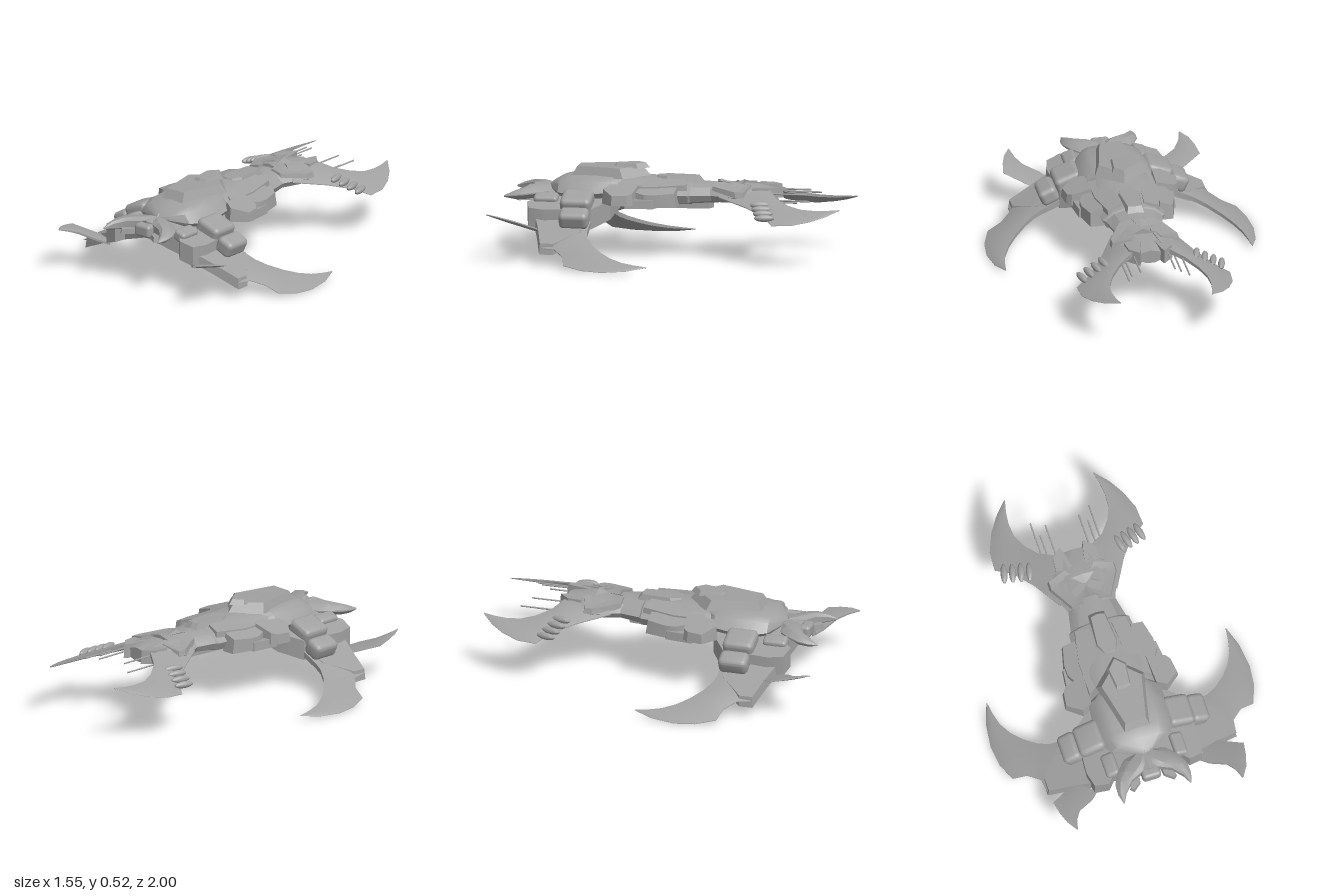
import * as THREE from 'three';
import { toCreasedNormals } from 'three/addons/utils/BufferGeometryUtils.js';
import { RoundedBoxGeometry } from 'three/addons/geometries/RoundedBoxGeometry.js';

const hullGrey = new THREE.MeshStandardMaterial({ color: 0xa0a0a0 });
hullGrey.name = 'hull grey';

// Reverse every triangle of a non-indexed geometry
function flip(geo) {
  const p = geo.attributes.position.array;
  for (let i = 0; i < p.length; i += 9)
    for (let k = 0; k < 3; k++) [p[i + 3 + k], p[i + 6 + k]] = [p[i + 6 + k], p[i + 3 + k]];
  return geo;
}

// Closed skin through rings of [x, y, z] points, capped at both ends, facing outward
function loft(rings, crease = 0.5) {
  const pos = [], n = rings[0].length;
  for (let r = 0; r + 1 < rings.length; r++)
    for (let i = 0; i < n; i++) {
      const j = (i + 1) % n, a = rings[r], b = rings[r + 1];
      pos.push(...a[i], ...a[j], ...b[j], ...a[i], ...b[j], ...b[i]);
    }
  [rings[0], rings[rings.length - 1]].forEach((ring, end) => {
    const c = [0, 1, 2].map(k => ring.reduce((s, p) => s + p[k], 0) / n);
    ring.forEach((p, i) => {
      const q = ring[(i + 1) % n];
      pos.push(...c, ...(end ? p : q), ...(end ? q : p));
    });
  });
  let geo = new THREE.BufferGeometry();
  geo.setAttribute('position', new THREE.Float32BufferAttribute(pos, 3));
  let volume = 0;
  const a = new THREE.Vector3(), b = new THREE.Vector3(), c = new THREE.Vector3();
  for (let i = 0; i < pos.length; i += 9)
    volume += a.fromArray(pos, i).dot(b.fromArray(pos, i + 3).cross(c.fromArray(pos, i + 6)));
  if (volume < 0) flip(geo);
  return toCreasedNormals(geo, crease);
}

// Curved blade: sections [outer x, outer z, inner x, inner z, thickness] laid on the surface y(x, z)
function blade(sections, y) {
  return loft(sections.map(([xo, zo, xi, zi, t]) => {
    const at = (s, h) => {
      const x = xo + (xi - xo) * s, z = zo + (zi - zo) * s;
      return [x, y(x, z) + h * t / 2, z];
    };
    return [at(0, 0.1), at(0.3, 0.8), at(0.75, 1), at(1, 0.6), at(1, -0.6), at(0.7, -1), at(0.3, -0.8), at(0, -0.1)];
  }), 0.6);
}

// Armour plate: an [x, z] outline between two heights, with the top drawn in
function plate(pts, bottom, top, scale = 1) {
  const cx = pts.reduce((s, p) => s + p[0], 0) / pts.length;
  const cz = pts.reduce((s, p) => s + p[1], 0) / pts.length;
  const f = h => (typeof h === 'function' ? h : () => h);
  return loft([
    pts.map(([x, z]) => [x, f(bottom)(x, z), z]),
    pts.map(([x, z]) => {
      const X = cx + (x - cx) * scale, Z = cz + (z - cz) * scale;
      return [X, f(top)(X, Z), Z];
    })
  ], 0.3);
}

// Symmetric outline from its right half
const both = pts => [...pts, ...pts.filter(p => p[0] > 0).reverse().map(([x, z]) => [-x, z])];

// Symmetric hull: sections [z, half width, top, side height, bottom] shaped by a half profile
function hull(sections, shoulder, crease) {
  return loft(sections.map(([z, w, top, side, bottom]) => {
    const half = [[shoulder * w, top - 0.008], [(shoulder + 1) / 2 * w, top * 0.65 + side * 0.35],
      [w, side], [w * 0.88, bottom + 0.02], [w * 0.3, bottom]];
    return [[0, top, z], ...half.map(([x, y]) => [x, y, z]), [0, bottom, z],
      ...half.slice().reverse().map(([x, y]) => [-x, y, z])];
  }), crease);
}

export function createModel() {
  const model = new THREE.Group();
  const add = (name, geo) => {
    const mesh = new THREE.Mesh(geo, hullGrey);
    mesh.name = name;
    model.add(mesh);
  };
  const pair = (name, geo) => {
    let left = geo.index ? geo.toNonIndexed() : geo;
    add(name + 'Left', left);
    const right = flip(left.clone().scale(-1, 1, 1));
    add(name + 'Right', toCreasedNormals(right, 0.5));
  };
  const rounded = (w, h, d, r, x, y, z, tilt) =>
    new RoundedBoxGeometry(w, h, d, 3, r).rotateZ(tilt).translate(x, y, z);

  // Central hull, tail and keel
  add('midHull', hull([[0.36, 0.19, 0.45, 0.37, 0.3], [0.2, 0.21, 0.45, 0.37, 0.295], [0, 0.19, 0.44, 0.36, 0.295],
    [-0.1, 0.18, 0.43, 0.36, 0.295], [-0.11, 0.165, 0.425, 0.36, 0.3], [-0.28, 0.13, 0.42, 0.36, 0.31]], 0.4, 0.4));
  add('tailHull', hull([[-0.2, 0.13, 0.42, 0.36, 0.31], [-0.38, 0.2, 0.42, 0.36, 0.31],
    [-0.46, 0.19, 0.415, 0.36, 0.31], [-0.57, 0.08, 0.4, 0.36, 0.32]], 0.45, 0.4));
  add('keel', plate(both([[0, -0.22], [0.05, -0.2], [0.08, 0.1], [0.05, 0.24], [0, 0.25]]), 0.272, 0.31));
  add('tailCap', plate(both([[0, -0.4], [0.07, -0.4], [0.09, -0.46], [0.2, -0.43], [0.2, -0.38], [0.12, -0.23], [0.05, -0.23], [0.04, -0.26], [0, -0.26]]),
    0.36, x => 0.44 - Math.abs(x) * 0.25, 0.96));
  add('spineRidge', plate(both([[0, -0.17], [0.05, -0.16], [0.07, 0.05], [0.04, 0.12], [0, 0.13]]), 0.41, 0.452, 0.8));
  pair('tailFork', plate([[0.03, -0.45], [0.14, -0.46], [0.13, -0.55], [0.07, -0.61], [0.055, -0.57]], 0.33, 0.41, 0.9));
  pair('neckArmour', plate([[0.06, -0.08], [0.15, -0.1], [0.19, 0.1], [0.19, 0.3], [0.09, 0.26]],
    0.36, x => 0.46 - x * 0.28, 0.94));

  // Side pods
  pair('rearPod', plate([[0.16, -0.05], [0.24, -0.05], [0.27, 0.07], [0.27, 0.14], [0.24, 0.2], [0.16, 0.2]],
    0.3, x => 0.46 - x * 0.33, 0.9));
  pair('frontPod', plate([[0.18, 0.17], [0.3, 0.19], [0.325, 0.22], [0.337, 0.31], [0.25, 0.38], [0.19, 0.35]],
    0.315, x => 0.48 - x * 0.33, 0.92));
  pair('podFlank', plate([[0.2, 0.05], [0.28, 0.08], [0.3, 0.24], [0.2, 0.26]], 0.295, 0.345, 0.92));

  // Armoured dome and crest
  add('dome', hull([[0.24, 0.09, 0.45, 0.39, 0.33], [0.34, 0.21, 0.455, 0.37, 0.32], [0.45, 0.222, 0.457, 0.36, 0.31],
    [0.58, 0.213, 0.45, 0.355, 0.31], [0.65, 0.18, 0.435, 0.36, 0.32], [0.7, 0.08, 0.405, 0.37, 0.34], [0.73, 0.01, 0.38, 0.37, 0.36]], 0.6, 0.6));
  add('crest', plate(both([[0, 0.14], [0.145, 0.28], [0.075, 0.59], [0, 0.59]]), 0.44, 0.497, 0.82));
  add('crestCap', plate(both([[0, 0.15], [0.06, 0.21], [0.045, 0.35], [0, 0.36]]), 0.49, (x, z) => 0.526 - z * 0.04, 0.8));

  // Chest and head
  pair('chest', plate([[0, 0.3], [0.2, 0.34], [0.32, 0.43], [0.34, 0.7], [0.32, 0.79], [0.24, 0.81], [0.2, 0.77], [0, 0.82]],
    x => 0.285 - 0.35 * x, x => 0.385 - 0.3 * x));
  add('snout', rounded(0.11, 0.075, 0.24, 0.02, 0, 0.333, 0.745, 0));
  pair('mandible', blade([[0.04, 0.68, 0, 0.74, 0.07], [0.13, 0.72, 0.01, 0.79, 0.08], [0.185, 0.78, 0.05, 0.82, 0.08],
    [0.215, 0.84, 0.12, 0.85, 0.07], [0.218, 0.9, 0.17, 0.905, 0.045], [0.203, 0.955, 0.196, 0.955, 0.01]],
    (x, z) => 0.35 - Math.max(0, z - 0.8) * 0.12));
  pair('innerFang', plate([[0.06, 0.78], [0.1, 0.79], [0.14, 0.88], [0.12, 0.9], [0.07, 0.86]], 0.3, 0.33, 0.9));
  pair('cheek', rounded(0.08, 0.065, 0.14, 0.02, 0.2, 0.32, 0.71, -0.35));

  // Front fins curling upward
  pair('frontFin', blade([[0.42, 0.7, 0.3, 0.78, 0.02], [0.57, 0.79, 0.35, 0.83, 0.02], [0.557, 0.87, 0.44, 0.88, 0.02],
    [0.535, 0.94, 0.475, 0.935, 0.015], [0.498, 1, 0.492, 1, 0.006]], (x, z) => -0.1 + 0.24 * x + 0.25 * z));

  // Front wings with shoulder joints
  const slope = x => 0.35 - 0.45 * x;
  pair('frontWing', blade([[0.3, 0.72, 0.26, 0.43, 0.06], [0.565, 0.67, 0.42, 0.43, 0.05], [0.575, 0.59, 0.47, 0.42, 0.045],
    [0.64, 0.53, 0.53, 0.385, 0.04], [0.72, 0.51, 0.6, 0.32, 0.035], [0.762, 0.4, 0.65, 0.255, 0.03],
    [0.775, 0.28, 0.687, 0.18, 0.024], [0.757, 0.14, 0.705, 0.1, 0.015], [0.717, 0.03, 0.713, 0.03, 0.005]], slope));
  pair('wingRoot', plate([[0.28, 0.45], [0.44, 0.46], [0.565, 0.6], [0.565, 0.68], [0.42, 0.72], [0.3, 0.76]],
    x => slope(x) - 0.035, x => slope(x) + 0.025, 0.95));
  pair('innerShoulder', rounded(0.16, 0.1, 0.18, 0.03, 0.26, 0.32, 0.52, -0.35));
  pair('outerShoulder', rounded(0.11, 0.1, 0.17, 0.03, 0.375, 0.245, 0.515, -0.42));

  // Rear blades, claws and rods
  const rear = x => 0.425 - 0.4 * x;
  pair('rearBlade', blade([[0.17, -0.28, 0.04, -0.36, 0.05], [0.27, -0.46, 0.08, -0.55, 0.05], [0.36, -0.58, 0.19, -0.62, 0.04],
    [0.445, -0.64, 0.25, -0.7, 0.03], [0.437, -0.75, 0.283, -0.78, 0.026], [0.395, -0.85, 0.288, -0.86, 0.02],
    [0.34, -0.93, 0.28, -0.93, 0.014], [0.268, -1, 0.263, -1, 0.005]], rear));
  for (let i = 0; i < 4; i++) {
    const x = 0.27 + i * 0.045;
    pair('claw' + (i + 1), new THREE.SphereGeometry(1, 10, 8).scale(0.02, 0.02, 0.06)
      .rotateY(0.25).translate(x, rear(x) + 0.02, -0.54 - i * 0.017));
  }
  [[0.175, 0.35, -0.81], [0.143, 0.335, -0.73], [0.1, 0.375, -0.765]].forEach(([x, y, z], i) => {
    const length = -0.5 - z;
    pair('rod' + (i + 1), new THREE.CylinderGeometry(0.005, 0.005, length, 6).rotateX(Math.PI / 2)
      .translate(x, y, z + length / 2));
  });
  return model;
}
